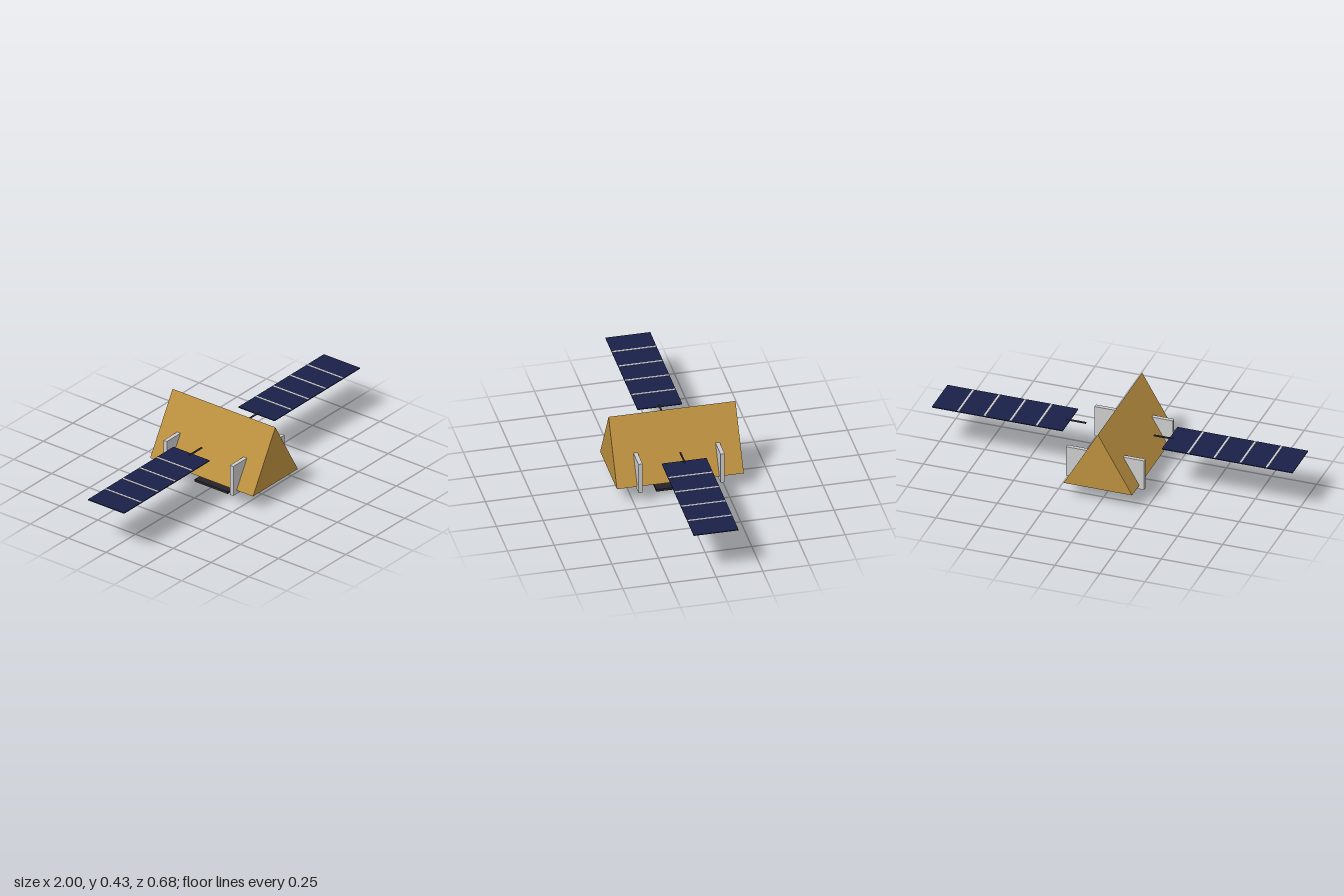
import * as THREE from 'three';

const mat = (color) => new THREE.MeshStandardMaterial({ color, flatShading: true });

export function createModel() {
  const model = new THREE.Group();
  model.name = 'satellite';

  const foil = mat(0xbb8f3f);
  const grey = mat(0xcccccc);
  const cells = mat(0x1a2148);
  const dark = mat(0x26222a);

  const add = (parent, name, geometry, material, x = 0, y = 0, z = 0) => {
    const mesh = new THREE.Mesh(geometry, material);
    mesh.name = name;
    mesh.position.set(x, y, z);
    parent.add(mesh);
    return mesh;
  };

  // Triangular prism body, lying along z
  const length = 0.68;
  const section = new THREE.Shape([
    new THREE.Vector2(-0.19, 0.097),
    new THREE.Vector2(0.19, 0.097),
    new THREE.Vector2(0, 0.426),
  ]);
  const prism = new THREE.ExtrudeGeometry(section, { depth: length, bevelEnabled: false });
  add(model, 'body', prism, foil, 0, 0, -length / 2);

  // Cross plates through the body, front and back
  for (const z of [0.22, -0.22]) {
    add(model, 'crossPlate', new THREE.BoxGeometry(0.434, 0.175, 0.022), grey, 0, 0.1625, z);
  }

  // Square sensor plate below the body
  add(model, 'sensorPlate', new THREE.BoxGeometry(0.22, 0.013, 0.22), dark, 0, 0.0065, 0);

  // Solar wings on both sides
  const wingY = 0.272, inner = 0.275, span = 0.725;
  for (const side of [1, -1]) {
    const wing = new THREE.Group();
    wing.name = side > 0 ? 'leftWing' : 'rightWing';
    wing.position.y = wingY;
    model.add(wing);

    const boom = add(wing, 'boom', new THREE.CylinderGeometry(0.005, 0.005, 0.107, 12), dark, side * 0.242);
    boom.rotation.z = Math.PI / 2;

    add(wing, 'solarPanel', new THREE.BoxGeometry(span, 0.005, 0.24), cells, side * (inner + span / 2));

    // Strips dividing the panel into five
    for (let i = 1; i < 5; i++) {
      add(wing, 'panelStrip', new THREE.BoxGeometry(0.011, 0.002, 0.235), grey,
        side * (inner + (span * i) / 5), 0.0032, 0);
    }
  }

  return model;
}
